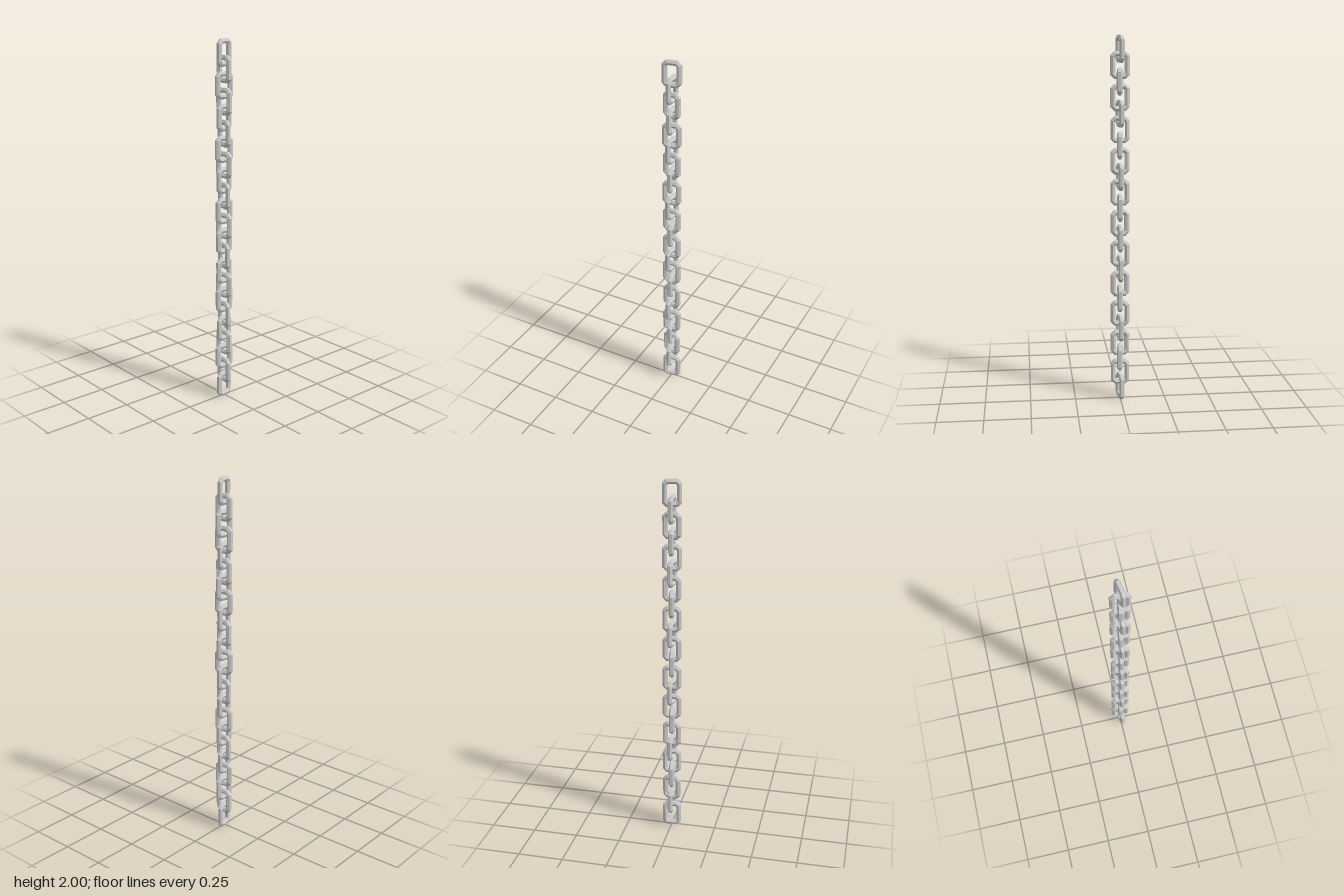
import * as THREE from 'three';

const LINKS = 23, HALF_W = 0.051, HALF_H = 0.0715, CHAMFER = 0.021;
const R = 0.0148, SIDES = 6;

// One link: a hexagonal bar swept round a chamfered rectangle with mitred corners
function linkGeometry() {
  const inset = R * Math.cos(Math.PI / SIDES);
  const w = HALF_W - inset, h = HALF_H - inset;
  const t = Math.tan(Math.PI / 8);
  const c = CHAMFER - inset * (1 - t);
  // Centre-line corners, anticlockwise, each with its outward mitre
  const path = [
    [w, h - c, 1, t], [w - c, h, t, 1], [c - w, h, -t, 1], [-w, h - c, -1, t],
    [-w, c - h, -1, -t], [c - w, -h, -t, -1], [w - c, -h, t, -1], [w, c - h, 1, -t],
  ];
  const positions = [], index = [];
  path.forEach(([x, y, mx, my], i) => {
    for (let j = 0; j < SIDES; j++) {
      const a = ((j + 0.5) / SIDES) * Math.PI * 2;
      const out = R * Math.cos(a);
      positions.push(x + mx * out, y + my * out, R * Math.sin(a));
      const k = (j + 1) % SIDES, n = (i + 1) % path.length;
      const p = i * SIDES + j, q = n * SIDES + j, s = n * SIDES + k, u = i * SIDES + k;
      index.push(p, q, s, p, s, u);
    }
  });
  const g = new THREE.BufferGeometry();
  g.setAttribute('position', new THREE.Float32BufferAttribute(positions, 3));
  g.setIndex(index);
  const flat = g.toNonIndexed();
  flat.computeVertexNormals();
  return flat;
}

export function createModel() {
  const chain = new THREE.Group();
  chain.name = 'chain';
  const material = new THREE.MeshStandardMaterial({ color: 0xcccccc, flatShading: true });
  const geometry = linkGeometry();
  const pitch = (2 - 2 * HALF_H) / (LINKS - 1);

  // Links alternate by a quarter turn, each with a slight loose twist
  for (let i = 0; i < LINKS; i++) {
    const link = new THREE.Mesh(geometry, material);
    link.name = `link${i + 1}`;
    link.position.y = 2 - HALF_H - i * pitch;
    const twist = THREE.MathUtils.degToRad(10 * Math.cos(i * 1.7));
    link.rotation.y = (i % 2) * Math.PI / 2 + twist;
    chain.add(link);
  }
  return chain;
}
